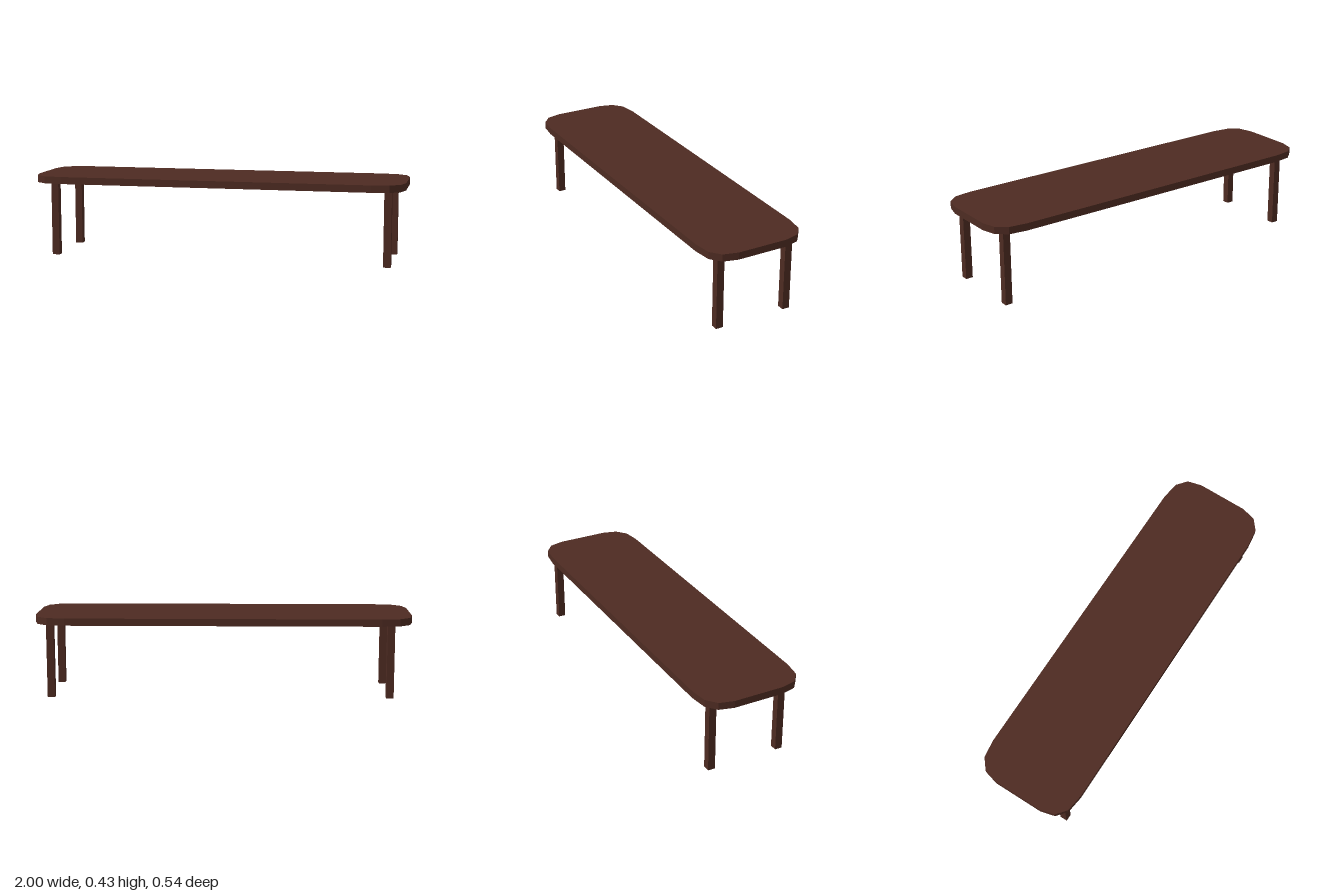
import * as THREE from 'three';

const TOP_Y = 0.433, RIM_Y = 0.395, LEG = 0.039;

// One quarter of the top's rounded outline, from the long side to the end
const CORNER = [[0.83, 0.27], [0.925, 0.257], [0.98, 0.212], [1, 0.135]];

// Full outline, counter-clockwise in (x, -z)
function outline() {
  const back = [...CORNER].reverse();
  return [
    ...back.map(([x, d]) => [x, d]),
    ...CORNER.map(([x, d]) => [-x, d]),
    ...back.map(([x, d]) => [-x, -d]),
    ...CORNER.map(([x, d]) => [x, -d]),
  ].map(([x, d]) => new THREE.Vector2(x, d));
}

// Upright band that follows the outline
function rimGeometry(points) {
  const positions = [];
  points.forEach((a, i) => {
    const b = points[(i + 1) % points.length];
    const corners = [[a, RIM_Y], [b, RIM_Y], [b, TOP_Y], [a, RIM_Y], [b, TOP_Y], [a, TOP_Y]];
    for (const [p, y] of corners) positions.push(p.x, y, -p.y);
  });
  const geometry = new THREE.BufferGeometry();
  geometry.setAttribute('position', new THREE.Float32BufferAttribute(positions, 3));
  geometry.computeVertexNormals();
  return geometry;
}

export function createModel() {
  const model = new THREE.Group();
  model.name = 'bench';
  const wood = new THREE.MeshStandardMaterial({ color: 0x4e2b22, side: THREE.DoubleSide });
  wood.name = 'dark wood';

  const add = (name, geometry, x = 0, y = 0, z = 0) => {
    const mesh = new THREE.Mesh(geometry, wood);
    mesh.name = name;
    mesh.position.set(x, y, z);
    model.add(mesh);
  };

  // Top: a flat sheet with a rim, open underneath
  const points = outline();
  const sheet = new THREE.ShapeGeometry(new THREE.Shape(points)).rotateX(-Math.PI / 2);
  add('seatTop', sheet, 0, TOP_Y, 0);
  add('seatRim', rimGeometry(points));

  // Four square legs reaching up inside the rim
  const legHeight = TOP_Y - 0.002;
  const legGeometry = new THREE.BoxGeometry(LEG, legHeight, LEG);
  for (const [xName, x] of [['Right', -0.884], ['Left', 0.915]]) {
    for (const [zName, z] of [['front', 0.192], ['back', -0.197]]) {
      add(`${zName}${xName}Leg`, legGeometry, x, legHeight / 2, z);
    }
  }
  return model;
}
